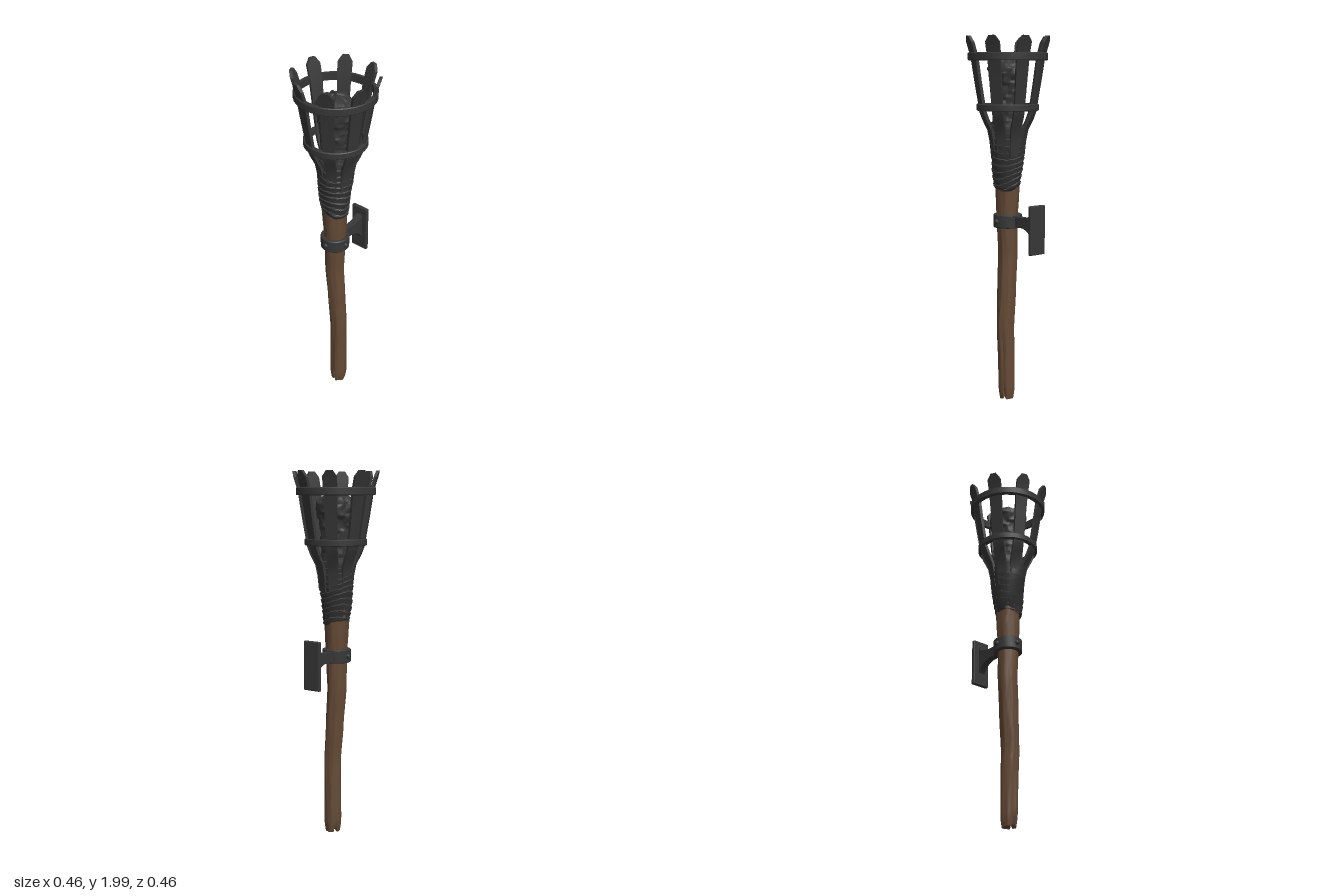
import * as THREE from 'three';
import { toCreasedNormals } from 'three/addons/utils/BufferGeometryUtils.js';
import { RoundedBoxGeometry } from 'three/addons/geometries/RoundedBoxGeometry.js';

const wood = new THREE.MeshStandardMaterial({ color: 0x654a36 });
const iron = new THREE.MeshStandardMaterial({ color: 0x373737 });
const cloth = new THREE.MeshStandardMaterial({ color: 0x363636 });
wood.name = 'wood'; iron.name = 'iron'; cloth.name = 'charred cloth';

const TAU = Math.PI * 2;
const { sin, cos, abs, max, min } = Math;

// Skin a stack of closed cross-sections (bottom to top), with capped ends
function loft(rows, crease = 0.7, bottomLift = 0) {
  const n = rows[0].length, pos = [], idx = [];
  rows.forEach(row => row.forEach(p => pos.push(...p)));
  const at = (i, j) => i * n + (j % n);
  for (let i = 0; i < rows.length - 1; i++) {
    for (let j = 0; j < n; j++) {
      const a = at(i, j), b = at(i, j + 1), c = at(i + 1, j), d = at(i + 1, j + 1);
      idx.push(a, c, b, b, c, d);
    }
  }
  [0, rows.length - 1].forEach((i, top) => {
    const centre = [0, 1, 2].map(k => rows[i].reduce((s, p) => s + p[k], 0) / n);
    if (!top) centre[1] += bottomLift;
    const c = pos.length / 3;
    pos.push(...centre);
    for (let j = 0; j < n; j++) {
      if (top) idx.push(c, at(i, j + 1), at(i, j));
      else idx.push(c, at(i, j), at(i, j + 1));
    }
  });
  const g = new THREE.BufferGeometry();
  g.setAttribute('position', new THREE.Float32BufferAttribute(pos, 3));
  g.setIndex(idx);
  return toCreasedNormals(g, crease);
}

// Linear lookup in a list of [key, ...values]
function sample(table, y) {
  let i = 0;
  while (i < table.length - 2 && y > table[i + 1][0]) i++;
  const a = table[i], b = table[i + 1];
  const t = min(1, max(0, (y - a[0]) / (b[0] - a[0])));
  const s = t * t * (3 - 2 * t) * 0.4 + t * 0.6;
  return a.map((v, k) => v + (b[k] - v) * s);
}

// Rough lumps from layered waves, about -1 to 1
const lumps = (a, y) => (sin(3 * a + 41 * y + 2 * sin(5 * a - 23 * y))
  + sin(7 * a - 67 * y + 1.5 * sin(4 * a + 90 * y)) * 0.7
  + sin(11 * a + 120 * y) * 0.35) / 2;

// Crooked wooden handle, split at the foot: [y, centre x, centre z, radius]
function handleGeometry() {
  const path = [[0, 0.015, -0.008, 0.042], [0.06, 0.015, -0.008, 0.046], [0.25, 0.016, -0.006, 0.046],
    [0.42, 0.02, -0.003, 0.047], [0.62, 0.008, 0, 0.05], [0.82, -0.004, 0.003, 0.052],
    [1, 0, 0.005, 0.056], [1.15, -0.003, 0.005, 0.064], [1.3, -0.003, 0.005, 0.074]];
  const rows = [], n = 40;
  for (let i = 0; i <= 52; i++) {
    const y = 0.01 + 1.27 * (i / 52), row = [];
    const [, cx, cz, r] = sample(path, y);
    const foot = max(0, 1 - y / 0.1);
    for (let j = 0; j < n; j++) {
      const a = j / n * TAU;
      const split = max(0, 1 - abs(sin(1.5 * a + 0.75)) * 4);
      const grain = 0.0018 * sin(6 * a + 5 * y) + 0.001 * sin(11 * a - 9 * y);
      const rr = r + grain - split * (0.003 + 0.02 * foot) - 0.006 * foot * foot;
      row.push([cx + rr * cos(a), y + (i === 0 ? split * 0.03 : 0), cz + rr * sin(a)]);
    }
    rows.push(row);
  }
  return loft(rows, 0.8, 0.02);
}

// Overlapping cloth turns around the top of the handle
function wrapGeometry() {
  const path = [[1.18, 0.06], [1.2, 0.071], [1.3, 0.083], [1.42, 0.094], [1.5, 0.092], [1.55, 0.08]];
  const rows = [], n = 48;
  for (let i = 0; i <= 80; i++) {
    const y = 1.185 + 0.355 * (i / 80), row = [];
    const r = sample(path, y)[1];
    for (let j = 0; j < n; j++) {
      const a = j / n * TAU;
      const turn = y * 30 + 0.6 * sin(a + 6 * y) + 0.25 * sin(2 * a + 17 * y);
      const rr = r + 0.007 * (turn - Math.floor(turn)) - 0.003 + 0.0025 * sin(3 * a + 20 * y);
      const hem = 0.014 * sin(a - 1) * max(0, 1 - i / 15);
      row.push([rr * cos(a) - 0.001, y + hem, rr * sin(a) + 0.004]);
    }
    rows.push(row);
  }
  return loft(rows, 0.6);
}

// Rough, burnt head inside the basket
function headGeometry() {
  const path = [[1.45, 0.08], [1.6, 0.079], [1.72, 0.085], [1.77, 0.098], [1.82, 0.104],
    [1.85, 0.092], [1.872, 0.06], [1.885, 0.015]];
  const rows = [], n = 56;
  for (let i = 0; i <= 80; i++) {
    const y = 1.45 + 0.435 * (i / 80), row = [];
    const r = sample(path, y)[1];
    for (let j = 0; j < n; j++) {
      const a = j / n * TAU, l = lumps(a, y);
      const rr = r * (1 + 0.08 * l);
      row.push([rr * cos(a), y + (y > 1.82 ? 0.007 * l : 0), rr * sin(a)]);
    }
    rows.push(row);
  }
  return loft(rows, 0.5);
}

// One flared basket slat with a clipped tip: [y, radius, half width]
function slatGeometry() {
  const path = [[1.36, 0.08, 0.024], [1.44, 0.088, 0.026], [1.5, 0.1, 0.028], [1.56, 0.13, 0.03],
    [1.6, 0.145, 0.03], [1.65, 0.153, 0.03], [1.76, 0.172, 0.032], [1.89, 0.192, 0.036],
    [1.965, 0.215, 0.038], [1.997, 0.225, 0.016]];
  const h = 0.008;
  return loft(path.map(([y, r, w]) => [[r + h, y, -w], [r + h, y, w], [r - h, y, w], [r - h, y, -w]]), 0.5);
}

// Flat band with slightly bevelled edges
function bandGeometry(inner, outer, height, segments) {
  const h = height / 2, b = 0.004;
  const profile = [[inner, -h], [outer - b, -h], [outer, -h + b], [outer, h - b],
    [outer - b, h], [inner, h], [inner, -h]].map(p => new THREE.Vector2(...p));
  return toCreasedNormals(new THREE.LatheGeometry(profile, segments), 0.5);
}

export function createModel() {
  const model = new THREE.Group();
  model.name = 'wall torch';
  const add = (name, geometry, material, x = 0, y = 0, z = 0, parent = model) => {
    const mesh = new THREE.Mesh(geometry, material);
    mesh.name = name;
    mesh.position.set(x, y, z);
    parent.add(mesh);
    return mesh;
  };

  add('handle', handleGeometry(), wood);
  add('cloth wrap', wrapGeometry(), cloth);
  add('burnt head', headGeometry(), cloth);

  // Basket: eight slats held by two rings
  const basket = new THREE.Group();
  basket.name = 'basket';
  model.add(basket);
  const slat = slatGeometry();
  for (let i = 0; i < 8; i++) {
    add('slat', slat, iron, 0, 0, 0, basket).rotation.y = -(16.5 + 45 * i) * Math.PI / 180;
  }
  add('upper ring', bandGeometry(0.193, 0.214, 0.042, 32), iron, 0, 1.89, 0, basket);
  add('lower ring', bandGeometry(0.145, 0.168, 0.036, 32), iron, 0, 1.622, 0, basket);

  // Wall bracket: riveted collar, flared arm and back plate
  const bracket = new THREE.Group();
  bracket.name = 'wall bracket';
  model.add(bracket);
  add('collar', bandGeometry(0.05, 0.078, 0.072, 28), iron, -0.002, 1.007, 0.004, bracket);
  const rivet = new THREE.SphereGeometry(0.014, 12, 8);
  for (let i = 0; i < 3; i++) {
    const a = i * Math.PI / 2;
    add('rivet', rivet, iron, -0.002 + 0.076 * cos(a), 1.007, 0.004 + 0.076 * sin(a), bracket);
  }
  const side = new THREE.Shape();
  side.moveTo(0.06, 0.982);
  side.lineTo(0.13, 0.978);
  side.quadraticCurveTo(0.185, 0.97, 0.213, 0.915);
  side.lineTo(0.213, 1.068);
  side.quadraticCurveTo(0.185, 1.037, 0.13, 1.034);
  side.lineTo(0.06, 1.034);
  side.closePath();
  const arm = new THREE.ExtrudeGeometry(side, { depth: 0.04, bevelEnabled: false, curveSegments: 8 });
  arm.translate(0, 0, -0.02).rotateY(Math.PI / 2);
  add('arm', toCreasedNormals(arm, 0.5), iron, -0.01, 0, 0, bracket);
  add('back plate', new RoundedBoxGeometry(0.104, 0.265, 0.022, 2, 0.006), iron, -0.013, 0.977, -0.222, bracket);

  return model;
}
